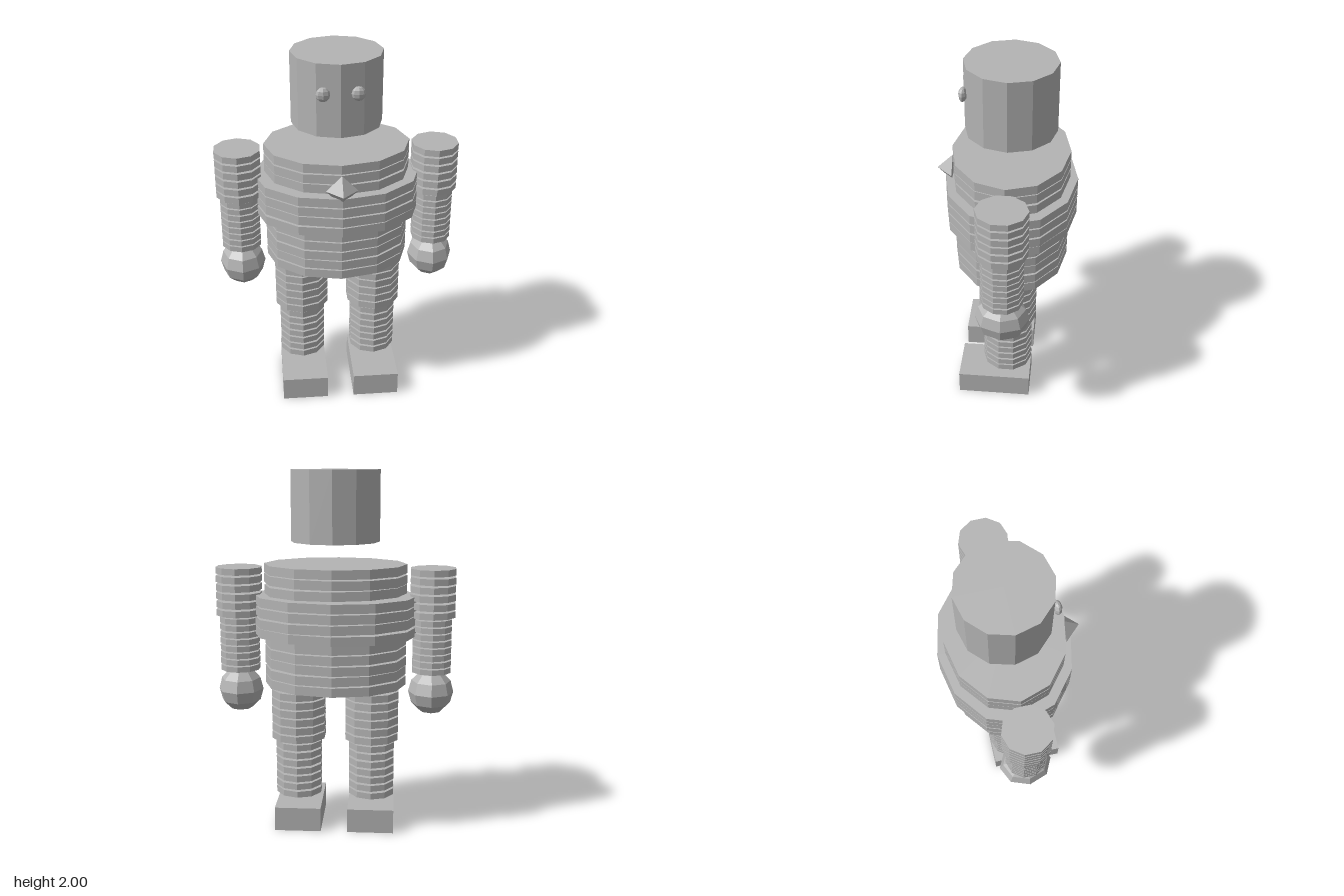
import * as THREE from 'three';

const grey = new THREE.MeshStandardMaterial({ color: 0xb4b4b4, flatShading: true });
grey.name = 'grey';
const Z = -0.02; // depth of the body axis

function part(parent, name, geometry, x, y, z) {
  const mesh = new THREE.Mesh(geometry, grey);
  mesh.name = name;
  mesh.position.set(x, y, z);
  parent.add(mesh);
  return mesh;
}

// Stack of thin discs running down from top, each with a faint tilt
function stack(parent, name, o) {
  const group = new THREE.Group();
  group.name = name;
  for (let i = 0; i < o.count; i++) {
    const [rx, rz] = o.radii(i);
    const g = new THREE.CylinderGeometry(1, 1, o.thick, o.sides);
    g.scale(rx, 1, rz);
    const disc = part(group, name + 'Disc', g, o.x, o.top - i * o.pitch - o.thick / 2, o.z ?? Z);
    disc.rotation.z = 0.008 * Math.sin(i * 2.3 + o.x);
  }
  parent.add(group);
}

export function createModel() {
  const model = new THREE.Group();
  model.name = 'stackedDiscFigure';

  // Head
  part(model, 'head', new THREE.CylinderGeometry(0.24, 0.24, 0.38, 12), 0, 1.81, Z);

  // Torso, with four wider discs around the middle
  stack(model, 'torso', {
    x: 0, z: -0.022, top: 1.5, count: 12, pitch: 0.0563, thick: 0.049, sides: 12,
    radii: (i) => (i >= 3 && i <= 6 ? [0.45, 0.355] : [0.39, 0.312]),
  });

  // Pointed chest stud facing forward
  const stud = new THREE.ConeGeometry(0.083, 0.085, 4);
  stud.rotateX(Math.PI / 2);
  part(model, 'chestStud', stud, 0, 1.36, 0.333);

  for (const [side, s] of [['left', 1], ['right', -1]]) {
    // Eyes
    const eye = new THREE.SphereGeometry(1, 8, 6);
    eye.scale(0.036, 0.038, 0.022);
    part(model, side + 'Eye', eye, s * 0.088, 1.85, 0.214);

    // Arms
    stack(model, side + 'UpperArm', {
      x: s * 0.53, top: 1.48, count: 6, pitch: 0.046, thick: 0.035, sides: 10,
      radii: () => [0.127, 0.133],
    });
    stack(model, side + 'LowerArm', {
      x: s * 0.53, top: 1.204, count: 8, pitch: 0.038, thick: 0.03, sides: 10,
      radii: () => [0.11, 0.112],
    });

    // Hands
    const hand = new THREE.SphereGeometry(1, 8, 6);
    hand.scale(0.125, 0.125, 0.145);
    part(model, side + 'Hand', hand, s * 0.53, 0.795, Z);

    // Legs
    stack(model, side + 'UpperLeg', {
      x: s * 0.205, top: 0.8, count: 6, pitch: 0.048, thick: 0.039, sides: 10,
      radii: () => [0.154, 0.16],
    });
    stack(model, side + 'LowerLeg', {
      x: s * 0.205, top: 0.505, count: 7, pitch: 0.0453, thick: 0.034, sides: 10,
      radii: () => [0.132, 0.138],
    });

    // Feet
    part(model, side + 'Foot', new THREE.BoxGeometry(0.258, 0.135, 0.41), s * 0.204, 0.0675, 0.05);
  }
  return model;
}
